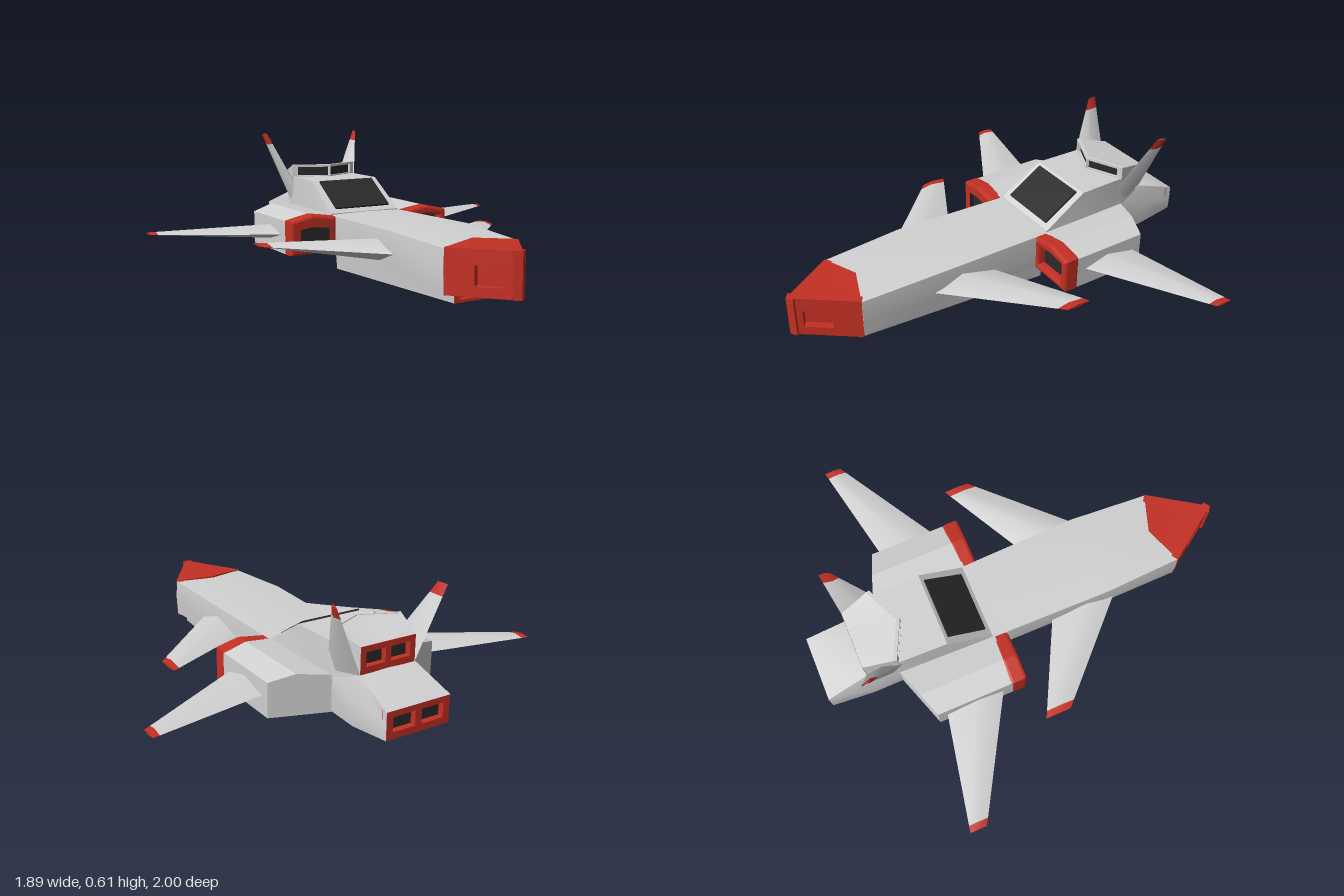
import * as THREE from 'three';
import { toCreasedNormals } from 'three/addons/utils/BufferGeometryUtils.js';

const mat = (name, color) => {
  const m = new THREE.MeshStandardMaterial({ color });
  m.name = name;
  return m;
};

export function createModel() {
  const model = new THREE.Group();
  model.name = 'starfighter';
  const grey = mat('hull grey', 0xd2d2d2);
  const red = mat('trim red', 0xc43024);
  const dark = mat('dark glass', 0x2a2a2a);

  const add = (name, geo, material) => {
    const mesh = new THREE.Mesh(geo, material);
    mesh.name = name;
    model.add(mesh);
    return mesh;
  };

  // Skin a row of equal-length closed rings; winding is corrected to face outward.
  function loft(rings, { capStart = true, capEnd = true, crease = 0.6 } = {}) {
    const tris = [], n = rings[0].length;
    const mid = (r) => r.reduce((a, p) => a.map((v, i) => v + p[i] / r.length), [0, 0, 0]);
    for (let k = 0; k < rings.length - 1; k++) {
      for (let i = 0; i < n; i++) {
        const j = (i + 1) % n, A = rings[k], B = rings[k + 1];
        tris.push([A[i], A[j], B[j]], [A[i], B[j], B[i]]);
      }
    }
    const first = rings[0], last = rings[rings.length - 1];
    for (let i = 0; i < n; i++) {
      const j = (i + 1) % n;
      if (capStart) tris.push([mid(first), first[j], first[i]]);
      if (capEnd) tris.push([mid(last), last[i], last[j]]);
    }
    const c = new THREE.Vector3(...mid(rings.flat()));
    let volume = 0;
    for (const t of tris) {
      const [p, q, r] = t.map((v) => new THREE.Vector3(...v).sub(c));
      volume += p.dot(q.cross(r));
    }
    if (volume < 0) tris.forEach((t) => t.reverse());
    const geo = new THREE.BufferGeometry();
    geo.setAttribute('position', new THREE.Float32BufferAttribute(tris.flat(2), 3));
    geo.computeVertexNormals();
    return toCreasedNormals(geo, crease);
  }

  // Complete a right-hand half section (top centre to bottom centre) by mirroring.
  const whole = (half) => [
    ...half,
    ...half.filter((p) => p[0] > 0).reverse().map(([x, y, z]) => [-x, y, z]),
  ];

  // Framed panel on four corners (counter-clockwise from outside), with sunken openings.
  function panel(name, corners, holes, depth, frameMat, backMat) {
    const [a, b, c, d] = corners.map((p) => new THREE.Vector3(...p));
    const normal = b.clone().sub(a).cross(d.clone().sub(a)).normalize();
    const at = (u, v, w) => a.clone().lerp(b, u).lerp(d.clone().lerp(c, u), v).addScaledVector(normal, w);
    const rect = (T, u0, u1, v0, v1) => new T([[u0, v0], [u1, v0], [u1, v1], [u0, v1]].map((p) => new THREE.Vector2(...p)));
    const shape = rect(THREE.Shape, 0, 1, 0, 1);
    holes.forEach((h) => shape.holes.push(rect(THREE.Path, ...h)));
    const place = (geo, shift) => {
      const pos = geo.attributes.position;
      for (let i = 0; i < pos.count; i++) {
        const p = at(pos.getX(i), pos.getY(i), pos.getZ(i) + shift);
        pos.setXYZ(i, p.x, p.y, p.z);
      }
      geo.computeVertexNormals();
      return geo;
    };
    add(name + ' frame', place(new THREE.ExtrudeGeometry(shape, { depth, bevelEnabled: false }), -depth), frameMat);
    add(name + ' recess', place(new THREE.ShapeGeometry(rect(THREE.Shape, 0.02, 0.98, 0.02, 0.98)), -depth + 0.002), backMat);
  }
  const mirrored = ([a, b, c, d]) => [b, a, d, c].map(([x, y, z]) => [-x, y, z]);

  // Main fuselage: z, top, then shoulder, side and lower edge
  const hull = [
    [0.74, 0.26, 0.18, 0.255, 0.185, 0.17, 0.18, 0.08],
    [0.36, 0.285, 0.2, 0.27, 0.205, 0.19, 0.195, 0.12],
    [-0.2, 0.264, 0.188, 0.26, 0.19, 0.18, 0.185, 0.095],
    [-0.64, 0.28, 0.165, 0.27, 0.17, 0.2, 0.165, 0.095],
    [-0.8, 0.305, 0.14, 0.3, 0.18, 0.2, 0.165, 0.09],
    [-1, 0.23, 0.155, 0.23, 0.155, 0.17, 0.153, 0.11],
  ].map(([z, top, x1, y1, x2, y2, x3, y3]) =>
    whole([[0, top, z], [x1, y1, z], [x2, y2, z], [x3, y3, z], [0, y3, z]]));
  add('fuselage', loft(hull, { capEnd: false }), grey);

  // Keel below the fuselage
  add('keel', loft([
    whole([[0, 0.13, 0.74], [0.14, 0.13, 0.74], [0.13, 0.03, 0.74], [0, 0.03, 0.74]]),
    whole([[0, 0.13, -0.205], [0.165, 0.13, -0.205], [0.155, 0, -0.205], [0, 0, -0.205]]),
  ], { capStart: false }), grey);
  panel('keel intake', [[-0.13, 0.03, 0.74], [0.13, 0.03, 0.74], [0.13, 0.08, 0.74], [-0.13, 0.08, 0.74]],
    [[0.1, 0.46, 0.25, 0.75], [0.54, 0.9, 0.25, 0.75]], 0.03, red, red);

  // Wedge nose
  for (const [name, tipY, sideY, backY, dy] of [
    ['nose top', 0.27, 0.26, 0.272, -0.01], ['nose underside', 0.08, 0.07, 0.07, 0.01]]) {
    const ring = [[0, tipY, 1], [0.182, sideY, 0.74], [0, backY, 0.675], [-0.182, sideY, 0.74]];
    add(name, loft([ring, ring.map(([x, y, z]) => [x, y + dy, z])]), red);
  }
  const cheek = [[0, 0.08, 1], [0.182, 0.07, 0.74], [0.182, 0.26, 0.74], [0, 0.27, 1]];
  panel('left nose cheek', cheek, [[0.2, 0.6, 0.22, 0.66]], 0.035, red, red);
  panel('right nose cheek', mirrored(cheek), [[0.4, 0.8, 0.22, 0.66]], 0.035, red, red);

  // Cabin with sloped windscreen
  add('cabin', loft([
    [-0.21, 0.266, 0.182], [-0.42, 0.4, 0.176], [-0.65, 0.4, 0.17], [-0.77, 0.32, 0.145],
  ].map(([z, top, w]) => whole([[0, top, z], [w, top, z], [w + 0.004, 0.24, z], [0, 0.24, z]])), { crease: 0.3 }), grey);
  const glass = new THREE.BoxGeometry(0.29, 0.009, 0.205);
  glass.rotateX(Math.atan2(0.134, 0.21));
  glass.translate(0, 0.341, -0.317);
  add('windscreen', glass, dark);

  // Upper engine housing with swept front slots and rear exhaust
  add('upper engine housing', loft([
    whole([[0, 0.46, -0.57], [0.175, 0.46, -0.65], [0.175, 0.385, -0.65], [0, 0.385, -0.57]]),
    whole([[0, 0.42, -0.8], [0.135, 0.42, -0.8], [0.135, 0.3, -0.8], [0, 0.3, -0.8]]),
  ], { capStart: false, capEnd: false, crease: 0.3 }), grey);
  const slot = [[0, 0.395, -0.57], [0.175, 0.395, -0.65], [0.175, 0.46, -0.65], [0, 0.46, -0.57]];
  panel('left upper intake', slot, [[0, 0.86, 0.15, 0.82]], 0.015, grey, dark);
  panel('right upper intake', mirrored(slot), [[0.14, 1, 0.15, 0.82]], 0.015, grey, dark);

  // Rear exhausts
  const pair = [[0.1, 0.45, 0.25, 0.78], [0.55, 0.9, 0.25, 0.78]];
  const rear = (w, y0, y1, z) => [[w, y0, z], [-w, y0, z], [-w, y1, z], [w, y1, z]];
  panel('upper exhaust', rear(0.134, 0.302, 0.419, -0.801), pair, 0.03, red, dark);
  panel('main exhaust', rear(0.153, 0.11, 0.23, -1), pair, 0.03, red, dark);

  // Flat surface: leading and trailing edge points at root and tip, with a red end
  function surface(name, root, tip, split, rootT, tipT, up) {
    const station = (t) => {
      const mix = (p, q, f) => p.map((v, i) => v + (q[i] - v) * f);
      const le = mix(root[0], tip[0], t), te = mix(root[1], tip[1], t);
      const h = (rootT + (tipT - rootT) * t) / 2, c = mix(le, te, 0.45);
      return [le, c.map((v, i) => v + up[i] * h), te, c.map((v, i) => v - up[i] * h)];
    };
    add(name, loft([station(0), station(split)], { crease: 0.9 }), grey);
    add(name + ' tip', loft([station(split), station(1)], { crease: 0.9 }), red);
  }

  for (const s of [1, -1]) {
    const side = s > 0 ? 'left' : 'right';
    const flip = (pts) => pts.map(([x, y, z]) => [s * x, y, z]);

    // Engine nacelle with angled rear end
    const outline = [[0.17, 0.095], [0.42, 0.095], [0.42, 0.25], [0.31, 0.277], [0.17, 0.26]];
    add(side + ' nacelle', loft([
      flip(outline.map(([x, y]) => [x, y, -0.2])),
      flip(outline.map(([x, y]) => [x, y, -0.66 + (x - 0.17) * 0.34])),
    ], { crease: 0.3 }), grey);

    // Nacelle intake lip
    const v2 = ([x, y]) => new THREE.Vector2(s * x, y);
    const lip = new THREE.Shape([[0.19, 0.095], [0.422, 0.095], [0.422, 0.254], [0.31, 0.279], [0.19, 0.262]].map(v2));
    lip.holes.push(new THREE.Path([[0.215, 0.125], [0.385, 0.125], [0.385, 0.225], [0.31, 0.235], [0.215, 0.225]].map(v2)));
    const lipGeo = new THREE.ExtrudeGeometry(lip, {
      depth: 0.05, bevelThickness: 0.015, bevelSize: 0.012, bevelOffset: -0.012, bevelSegments: 2 });
    lipGeo.translate(0, 0, -0.205);
    add(side + ' intake lip', lipGeo, red);
    const throat = new THREE.BoxGeometry(0.2, 0.13, 0.008);
    throat.translate(s * 0.302, 0.175, -0.185);
    add(side + ' intake throat', throat, dark);

    // Main wing, foreplane and canted tail fin
    surface(side + ' wing', flip([[0.38, 0.18, -0.235], [0.38, 0.18, -0.525]]),
      flip([[0.943, 0.18, -0.56], [0.943, 0.18, -0.638]]), 0.945, 0.07, 0.012, [0, 1, 0]);
    surface(side + ' foreplane', flip([[0.17, 0.175, 0.43], [0.17, 0.175, 0.1]]),
      flip([[0.615, 0.18, -0.01], [0.615, 0.18, -0.13]]), 0.93, 0.1, 0.014, [0, 1, 0]);
    surface(side + ' tail fin', flip([[0.15, 0.3, -0.6], [0.135, 0.3, -0.8]]),
      flip([[0.257, 0.612, -0.775], [0.267, 0.61, -0.822]]), 0.84, 0.06, 0.008, [s * 0.9, -0.4, 0]);
  }

  return model;
}
